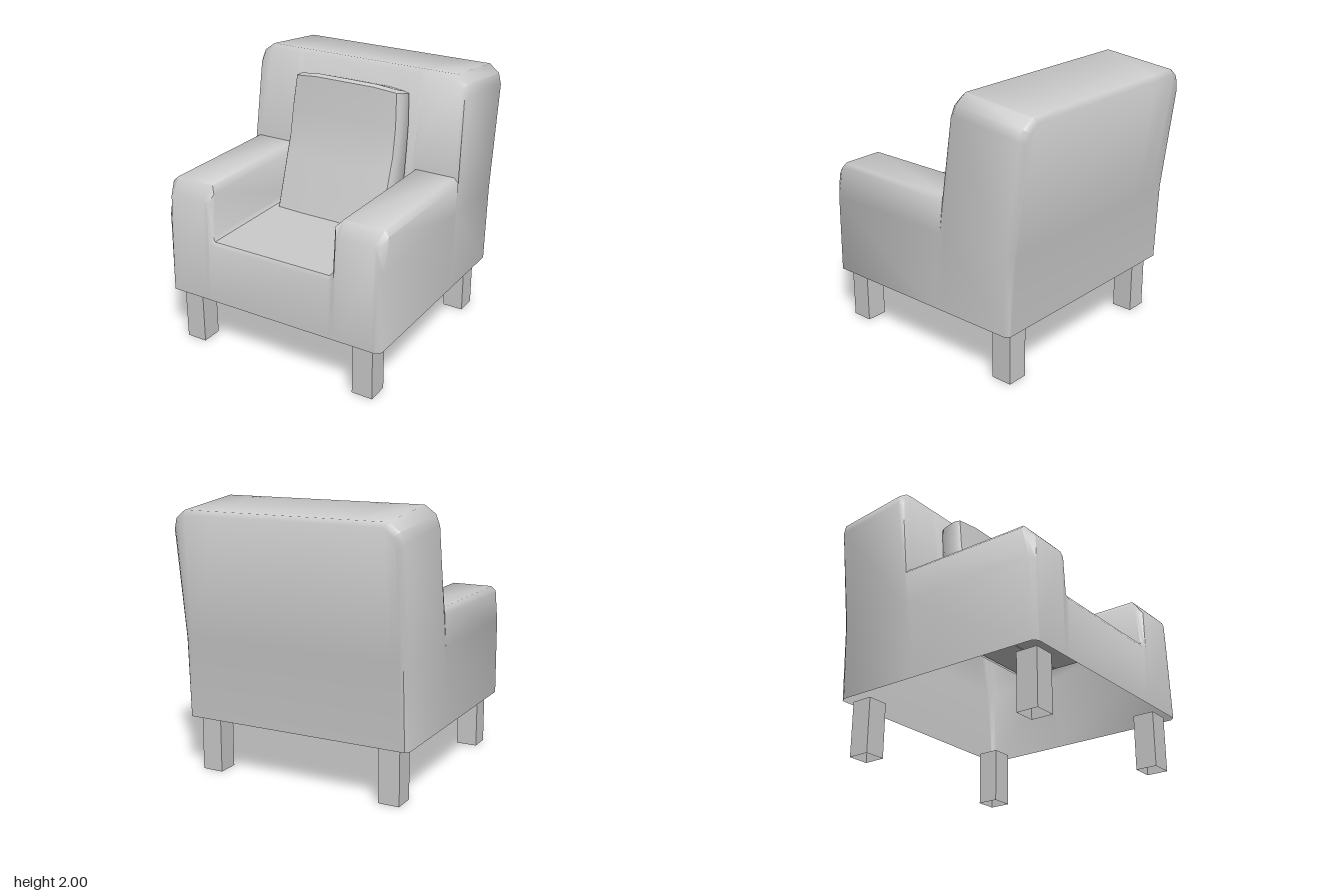
import * as THREE from 'three';
import { toCreasedNormals } from 'three/addons/utils/BufferGeometryUtils.js';

const material = new THREE.MeshStandardMaterial({ color: 0xcccccc, side: THREE.DoubleSide });

// Skin a list of equally long rows of [x, y, z] points
function skin(rows, crease) {
  const n = rows[0].length, index = [];
  for (let r = 0; r < rows.length - 1; r++) {
    for (let c = 0; c < n - 1; c++) {
      const a = r * n + c, b = a + n;
      index.push(a, b, a + 1, a + 1, b, b + 1);
    }
  }
  const g = new THREE.BufferGeometry();
  g.setAttribute('position', new THREE.Float32BufferAttribute(rows.flat(2), 3));
  g.setIndex(index);
  return toCreasedNormals(g, crease);
}

function part(name, geometry) {
  const mesh = new THREE.Mesh(geometry, material);
  mesh.name = name;
  return mesh;
}

// Complete a half row (+x side, outside to centre) with its mirror image
const mirrored = (half) => [...half, ...half.map(([x, y, z]) => [-x, y, z]).reverse()];

const BASE = 0.41, WAIST = 1.0;
const frontZ = (y) => 0.92 - 0.026 * (y - BASE);
const backrestZ = (y) => -0.15 - 0.128 * (y - 0.88);
const rearZ = (y) => (y < WAIST ? -0.775 - 0.042 * (y - BASE) : -0.8 - 0.127 * (y - WAIST));

// One upholstered shell, open below: up the front, over arms and seat,
// up the backrest, across its top and down the rear
function bodyGeometry() {
  // outer side, arm top, arm inside, seat
  const arms = [[0.885, BASE], [0.885, WAIST], [0.885, 1.24], [0.85, 1.275],
    [0.54, 1.275], [0.5, 1.23], [0.5, 0.91], [0.48, 0.88]];
  const front = [[0.855, BASE], [0.85, WAIST], [0.845, 1.16], [0.82, 1.18],
    [0.56, 1.18], [0.53, 1.15], [0.52, 0.87], [0.48, 0.85]];
  const armFrontZ = [0.885, 0.875, 0.82, 0.81, 0.81, 0.85, 0.88, 0.89];
  // outline of the tall backrest, with the same number of points
  const tall = [[0.885, BASE], [0.885, WAIST], [0.885, 1.86], [0.86, 1.94],
    [0.78, 2], [0.54, 2], [0.5, 2], [0.47, 2]];
  const tallInset = [[0.885, BASE], [0.885, WAIST], [0.865, 1.84], [0.84, 1.915],
    [0.77, 1.97], [0.54, 1.97], [0.5, 1.97], [0.47, 1.97]];
  const rear = [[0.86, BASE], [0.855, WAIST], [0.85, 1.78], [0.825, 1.85],
    [0.76, 1.905], [0.54, 1.905], [0.5, 1.905], [0.47, 1.905]];
  const drop = (y) => (y > 1.5 ? y - 0.06 : y);

  const rows = [
    front.map(([x]) => [x, BASE, frontZ(BASE)]),
    front.map(([x, y]) => [x, y, frontZ(y)]),
    arms.map(([x, y], i) => [x, y, armFrontZ[i]]),
    arms.map(([x, y]) => [x, y, backrestZ(y)]),
    tallInset.map(([x, y]) => [x, y, backrestZ(y)]),
    tall.map(([x, y]) => [x, y, backrestZ(y) - 0.035]),
    tall.map(([x, y]) => [x, drop(y), rearZ(drop(y)) + 0.035]),
    rear.map(([x, y]) => [x, y, rearZ(y)]),
    rear.map(([x, y]) => [x, Math.min(y, WAIST), rearZ(Math.min(y, WAIST))]),
    rear.map(([x]) => [x, BASE, rearZ(BASE)]),
  ];
  return skin(rows.map(mirrored), 0.95);
}

// Leaning back cushion: bevelled sections stacked upwards, then a sloping top
function cushionGeometry() {
  const section = (y, w, zf, zb, tilt = 0, crown = 0) => {
    const half = [[w - 0.03, zb], [w, zb + 0.04], [w, zf - 0.05], [w - 0.025, zf - 0.01], [0.24, zf]];
    const loop = mirrored(half.map(([x, z]) => [x, y + tilt * (z - zf) + (x < 0.3 ? crown : 0), z]));
    // close the loop, with extra points along the rear edge
    const [x, yb, z] = loop[0];
    return [...loop, [-0.24, yb + crown, z], [0.24, yb + crown, z], [x, yb, z]].reverse();
  };
  const levels = [
    [0.87, 0.465, 0.16], [1.1, 0.465, 0.085], [1.27, 0.465, 0.03],
    [1.4, 0.465, -0.015], [1.62, 0.462, -0.055],
  ];
  const rows = levels.map(([y, w, zf]) => section(y, w, zf, backrestZ(y) - 0.01));
  rows.push(section(1.865, 0.445, -0.09, -0.28, 0.25, 0.015));
  rows.push(section(1.88, 0.42, -0.125, -0.265, 0.35, 0.015));
  rows.push(rows.at(-1).map(([x]) => [x * 0.95, Math.abs(x) < 0.3 ? 1.87 : 1.857, -0.195]));
  return skin(rows.map((r) => r.reverse()), 0.7);
}

export function createModel() {
  const group = new THREE.Group();
  group.name = 'armchair';
  group.add(part('body', bodyGeometry()), part('backCushion', cushionGeometry()));

  // Square hollow legs
  const leg = new THREE.CylinderGeometry(0.08 * Math.SQRT2, 0.08 * Math.SQRT2, BASE, 4, 1, true);
  leg.rotateY(Math.PI / 4);
  const legGeometry = toCreasedNormals(leg, 0.5);
  for (const [side, x] of [['Left', 0.722], ['Right', -0.722]]) {
    for (const [end, z] of [['front', 0.787], ['rear', -0.645]]) {
      const mesh = part(`${end}${side}Leg`, legGeometry);
      mesh.position.set(x, BASE / 2, z);
      group.add(mesh);
    }
  }
  return group;
}
